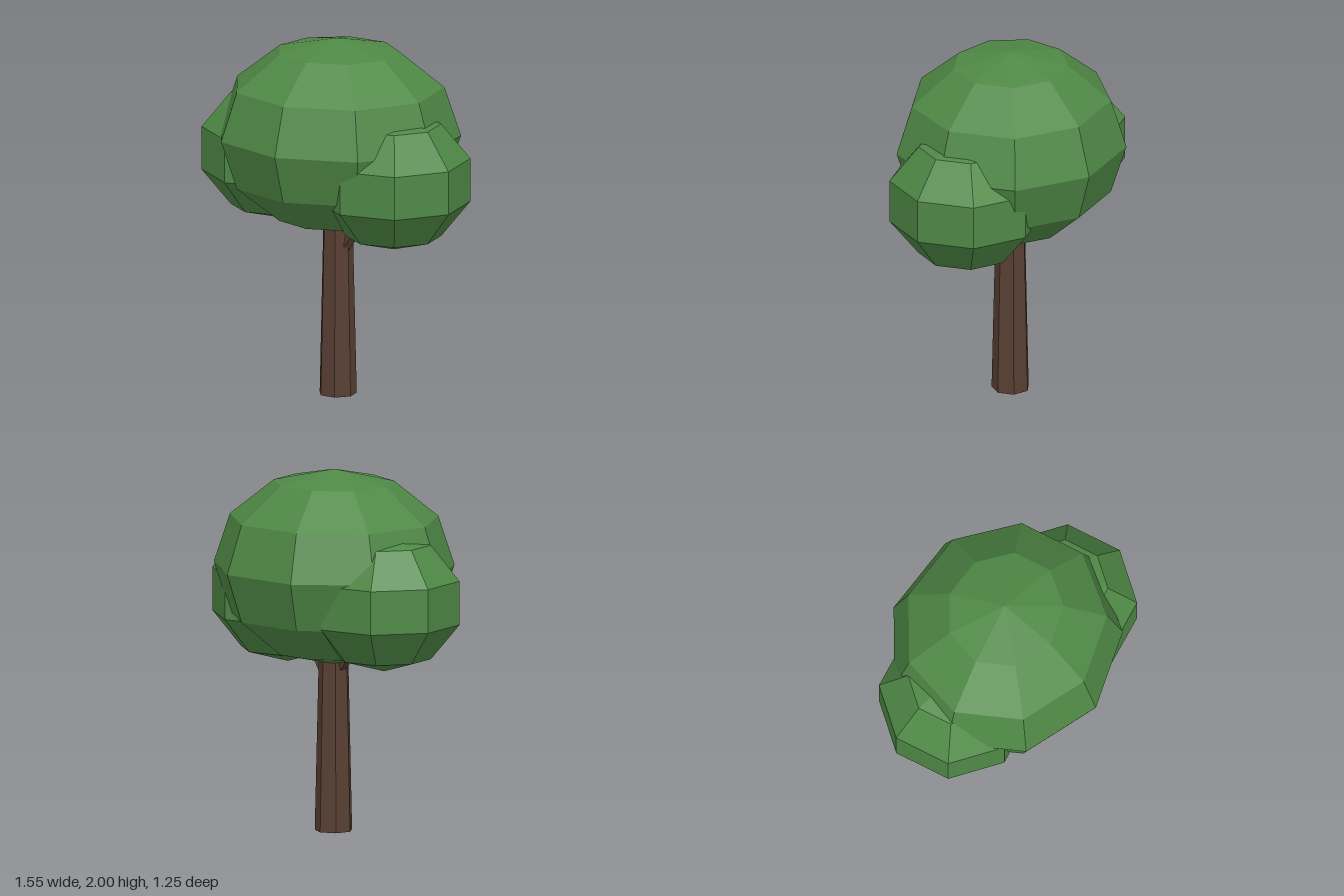
import * as THREE from 'three';

export function createModel() {
  const tree = new THREE.Group();
  tree.name = 'tree';
  const leaf = new THREE.MeshStandardMaterial({ color: 0x4f8946, flatShading: true });
  leaf.name = 'leaf green';
  const bark = new THREE.MeshStandardMaterial({ color: 0x583f32, flatShading: true });
  bark.name = 'bark brown';

  const add = (name, geometry, material) => {
    const mesh = new THREE.Mesh(geometry, material);
    mesh.name = name;
    tree.add(mesh);
    return mesh;
  };

  // Faceted ellipsoid of leaves
  const foliage = (name, radii, center, sides, rings, turn = 0) => {
    const geometry = new THREE.SphereGeometry(1, sides, rings);
    geometry.rotateY(turn).scale(...radii).translate(...center);
    return add(name, geometry, leaf);
  };

  // Tapered limb between two points
  const branch = (name, from, to, r0, r1) => {
    const a = new THREE.Vector3(...from);
    const b = new THREE.Vector3(...to);
    const dir = b.clone().sub(a);
    const mesh = add(name, new THREE.CylinderGeometry(r1, r0, dir.length(), 5), bark);
    mesh.position.copy(a).add(b).multiplyScalar(0.5);
    mesh.quaternion.setFromUnitVectors(new THREE.Vector3(0, 1, 0), dir.normalize());
  };

  // Seven-sided trunk with one corner toward -x
  const trunk = new THREE.CylinderGeometry(0.08, 0.105, 1.1, 7);
  trunk.rotateY(-Math.PI / 2).translate(0, 0.55, 0);
  add('trunk', trunk, bark);

  // Branches reaching into the side clusters
  branch('leftBranch', [0, 0.77, 0], [0.32, 1.19, 0.12], 0.035, 0.028);
  branch('rightBranch', [0, 0.85, 0], [-0.33, 1.25, -0.08], 0.035, 0.028);

  // Main crown and the two side clusters
  foliage('crown', [0.68, 0.54, 0.633], [0, 1.46, 0], 9, 6);
  foliage('leftCluster', [0.44, 0.39, 0.44], [0.387, 1.27, 0.14], 8, 5, Math.PI / 8);
  foliage('rightCluster', [0.44, 0.39, 0.44], [-0.389, 1.32, -0.1], 8, 5, Math.PI / 8);

  return tree;
}
